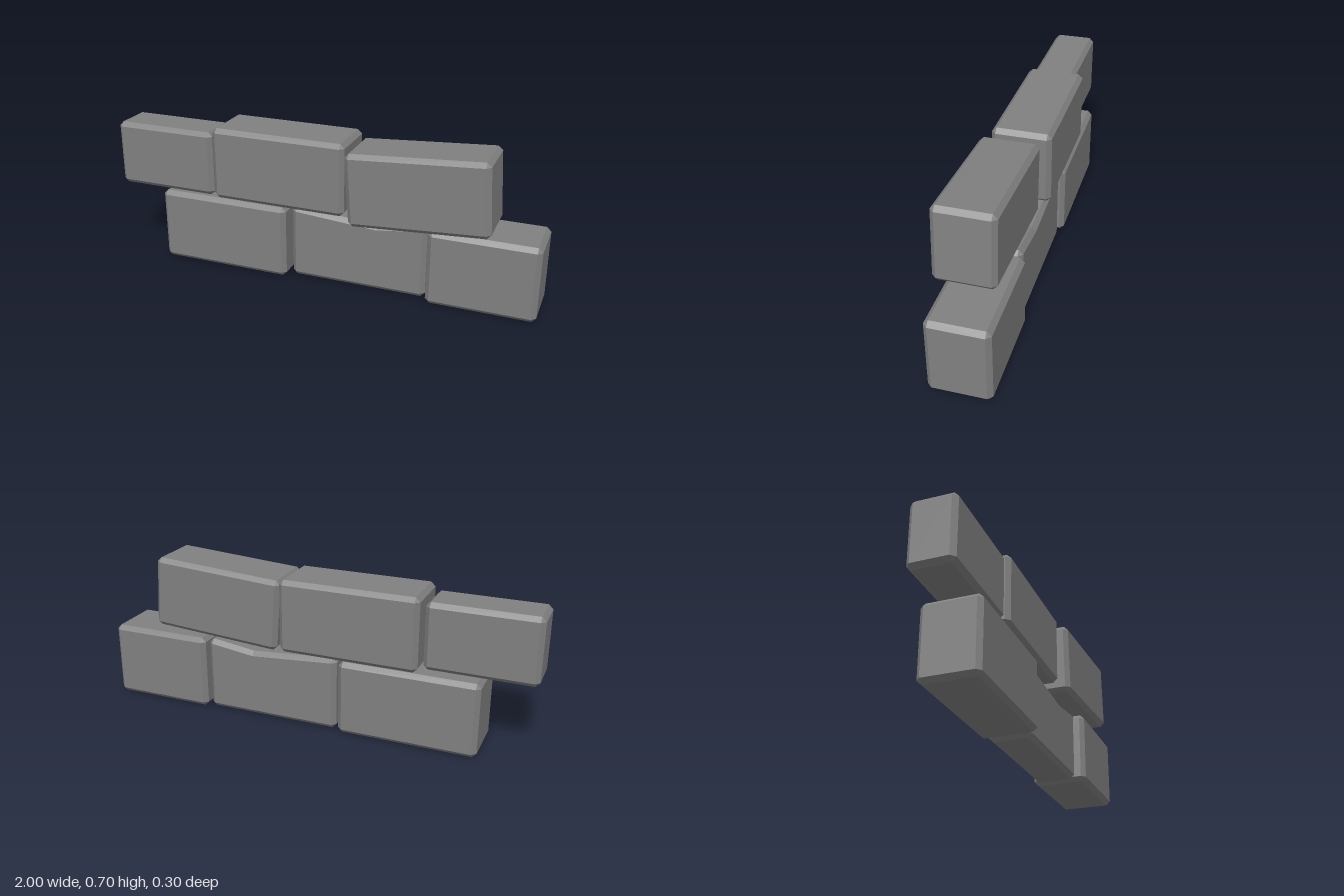
import * as THREE from 'three';

const BEVEL = 0.02;

// Chamfered block lofted along x; "dip" lowers the top edge at one position.
function brickGeometry(w, h, d, dip) {
  const b = BEVEL, y = h / 2, z = d / 2;
  // Octagonal section; an end cap pulls every point in to a rectangle.
  const section = (x, cap, drop = 0) => {
    const Y = cap ? y - b : y, Z = cap ? z - b : z;
    return [
      [y - b, Z], [Y, z - b], [Y, b - z], [y - b, -Z],
      [b - y, -Z], [-Y, b - z], [-Y, z - b], [b - y, Z],
    ].map(([py, pz]) => new THREE.Vector3(x, py > 0 ? py - drop : py, pz));
  };
  const rings = [section(-w / 2, true), section(b - w / 2, false)];
  if (dip) rings.push(section(dip.x, false, dip.depth));
  rings.push(section(w / 2 - b, false), section(w / 2, true));

  const pos = [];
  const tri = (p, q, r) => {
    const area = new THREE.Triangle(p, q, r).getArea();
    if (area > 1e-8) for (const v of [p, q, r]) pos.push(v.x, v.y, v.z);
  };
  for (let i = 0; i < rings.length - 1; i++) {
    for (let j = 0; j < 8; j++) {
      const k = (j + 1) % 8, A = rings[i], B = rings[i + 1];
      tri(A[j], B[j], B[k]);
      tri(A[j], B[k], A[k]);
    }
  }
  // End faces
  const L = rings[0], R = rings[rings.length - 1];
  for (let j = 1; j < 7; j++) {
    tri(L[0], L[j], L[j + 1]);
    tri(R[0], R[j + 1], R[j]);
  }
  const geo = new THREE.BufferGeometry();
  geo.setAttribute('position', new THREE.Float32BufferAttribute(pos, 3));
  geo.computeVertexNormals();
  return geo;
}

export function createModel() {
  const group = new THREE.Group();
  group.name = 'brickWall';
  const stone = new THREE.MeshStandardMaterial({ color: 0x808080 });
  stone.name = 'stoneGrey';

  // Ranges are [min, max] along each axis
  const bricks = [
    { name: 'lowerLeftBrick', x: [-0.775, -0.145], y: [0, 0.342], z: [-0.152, 0.112] },
    { name: 'lowerMiddleBrick', x: [-0.128, 0.505], y: [0, 0.342], z: [-0.13, 0.07], dip: { x: 0.09, depth: 0.028 } },
    { name: 'lowerRightBrick', x: [0.517, 1], y: [0, 0.345], z: [-0.152, 0.113] },
    { name: 'upperLeftBrick', x: [-1, -0.51], y: [0.347, 0.65], z: [-0.1, 0.1] },
    { name: 'upperMiddleBrick', x: [-0.5, 0.135], y: [0.345, 0.68], z: [-0.152, 0.112] },
    { name: 'upperRightTiltedBrick', x: [0.158, 0.783], y: [0.345, 0.677], z: [-0.112, 0.152], tilt: 0.068 },
  ];
  const size = ([a, b]) => b - a, mid = ([a, b]) => (a + b) / 2;
  for (const { name, x, y, z, dip, tilt = 0 } of bricks) {
    const mesh = new THREE.Mesh(brickGeometry(size(x), size(y), size(z), dip), stone);
    mesh.name = name;
    mesh.position.set(mid(x), mid(y), mid(z));
    mesh.rotation.z = tilt;
    group.add(mesh);
  }
  return group;
}
